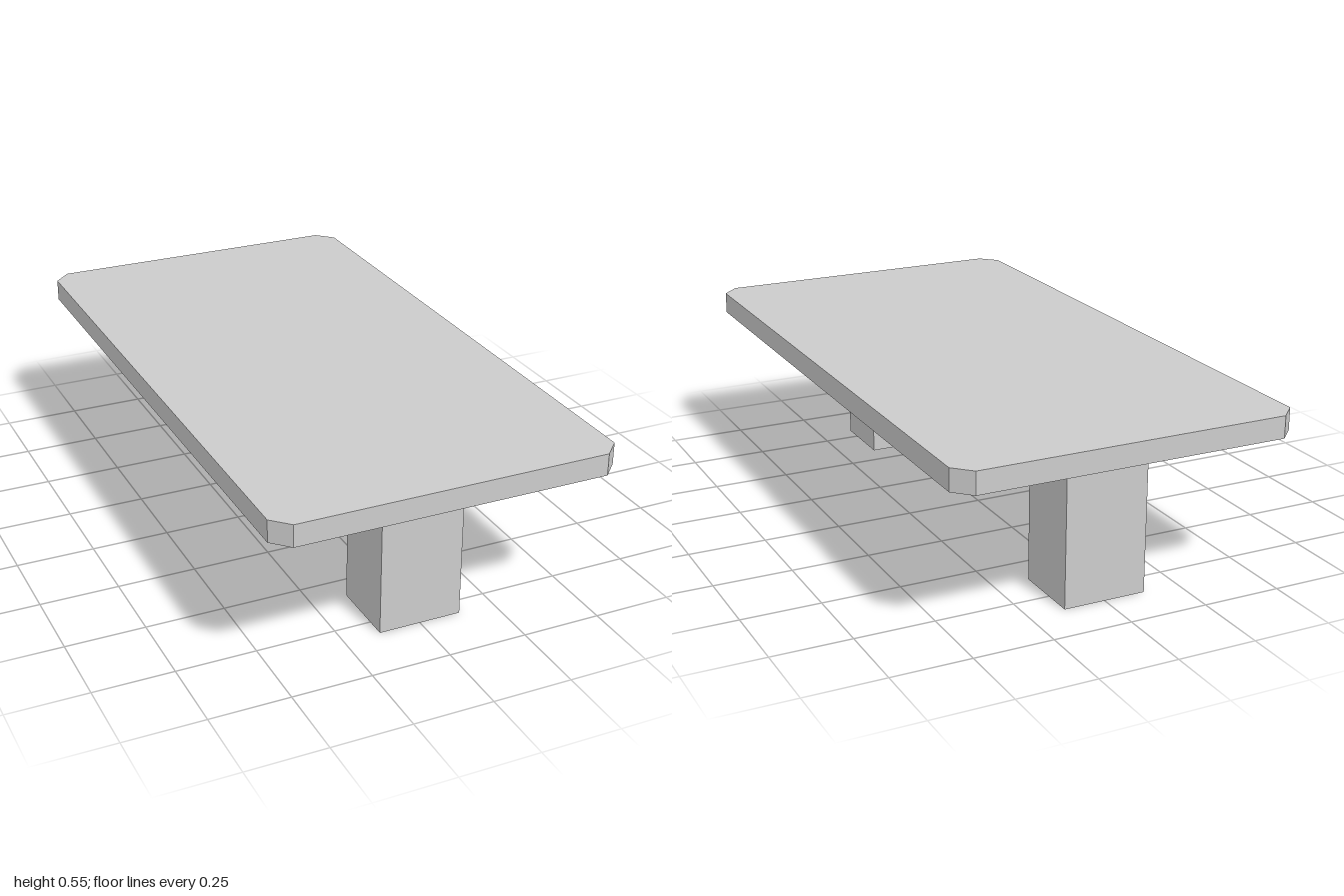
import * as THREE from 'three';

export function createModel() {
  const model = new THREE.Group();
  model.name = 'table';
  const material = new THREE.MeshStandardMaterial({ color: 0xcccccc, flatShading: true });

  const halfWidth = 0.545, halfLength = 1, chamfer = 0.053;
  const legHeight = 0.477, topThickness = 0.07;

  // Table top: rectangle with clipped corners, extruded upwards
  const w = halfWidth, l = halfLength, c = chamfer;
  const outline = new THREE.Shape([
    [w - c, -l], [w, -l + c], [w, l - c], [w - c, l],
    [-w + c, l], [-w, l - c], [-w, -l + c], [-w + c, -l],
  ].map(([x, y]) => new THREE.Vector2(x, y)));
  const topGeometry = new THREE.ExtrudeGeometry(outline, { depth: topThickness, bevelEnabled: false });
  topGeometry.rotateX(-Math.PI / 2);
  const top = new THREE.Mesh(topGeometry, material);
  top.name = 'tableTop';
  top.position.y = legHeight;
  model.add(top);

  // Two block legs, the back one slightly nearer its end
  const legGeometry = new THREE.BoxGeometry(0.266, legHeight, 0.228);
  for (const [name, z] of [['frontLeg', 0.7], ['backLeg', -0.733]]) {
    const leg = new THREE.Mesh(legGeometry, material);
    leg.name = name;
    leg.position.set(0, legHeight / 2, z);
    model.add(leg);
  }

  return model;
}
